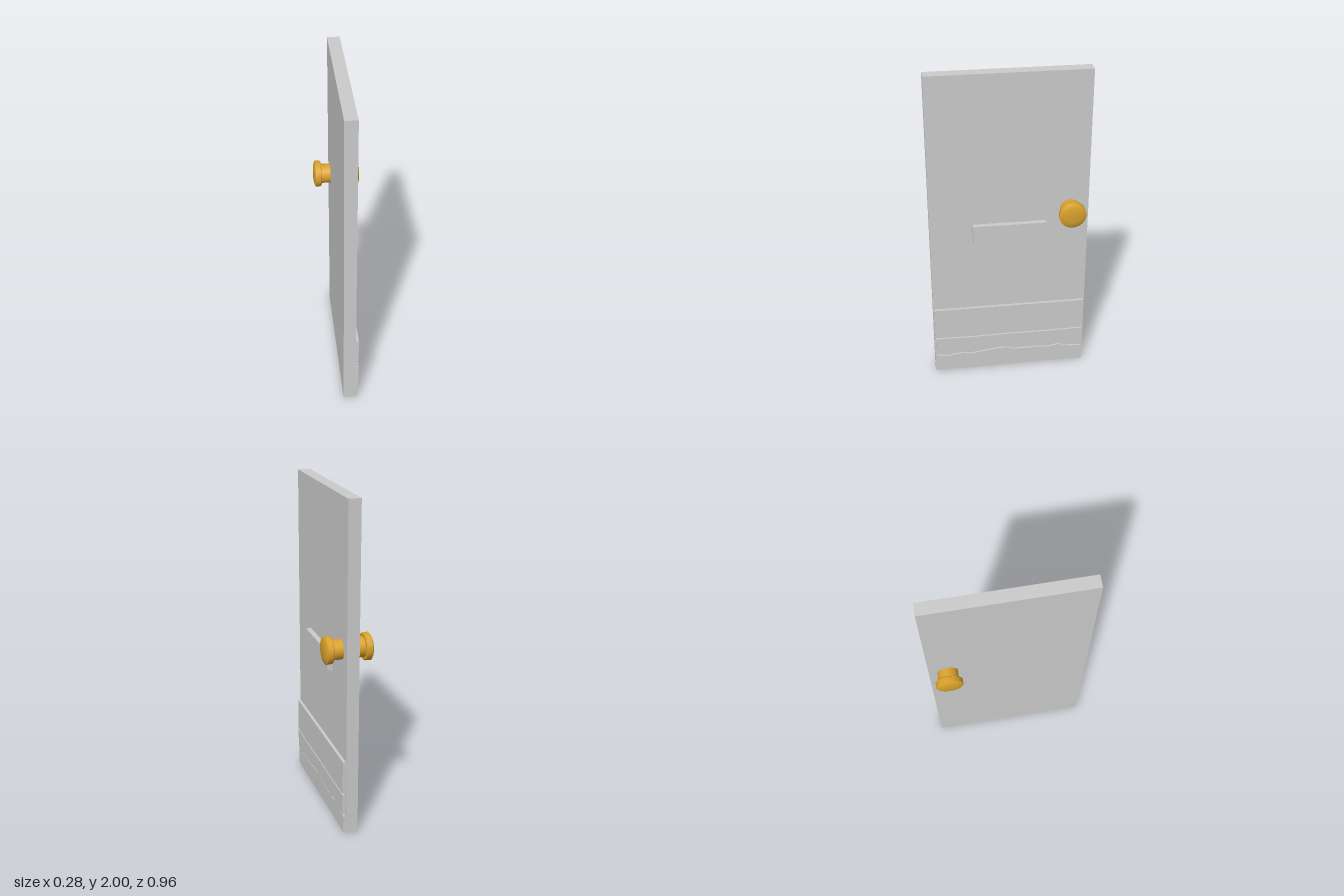
import * as THREE from 'three';
import { toCreasedNormals } from 'three/addons/utils/BufferGeometryUtils.js';

export function createModel() {
  const group = new THREE.Group();
  const grey = new THREE.MeshStandardMaterial({ color: 0xcccccc });
  const brass = new THREE.MeshStandardMaterial({ color: 0xdaa22c });
  const FACE = 0.036; // x of the door's outer face

  const add = (name, geometry, material = grey) => {
    const mesh = new THREE.Mesh(geometry, material);
    mesh.name = name;
    group.add(mesh);
    return mesh;
  };

  // Box given by its limits on each axis
  const box = (name, x0, x1, y0, y1, z0, z1) =>
    add(name, new THREE.BoxGeometry(x1 - x0, y1 - y0, z1 - z0))
      .position.set((x0 + x1) / 2, (y0 + y1) / 2, (z0 + z1) / 2);

  box('doorPanel', -0.038, FACE, 0, 2, -0.478, 0.478);
  box('letterPlate', FACE, 0.068, 0.945, 1.06, -0.22, 0.22);

  // Weathered boards: lower and upper edges run along the door's width (-z)
  const board = (name, lower, upper, thickness) => {
    const outline = [...lower, ...[...upper].reverse()].map(([u, y]) => new THREE.Vector2(u, y));
    const geometry = new THREE.ExtrudeGeometry(new THREE.Shape(outline), { depth: thickness, bevelEnabled: false });
    geometry.rotateY(Math.PI / 2).translate(FACE, 0, 0);
    add(name, geometry);
  };
  const W = 0.47;
  const crack = [[-W, 0.135], [-0.4, 0.122], [-0.31, 0.138], [-0.25, 0.129], [-0.03, 0.158],
    [0.03, 0.139], [0.2, 0.139], [0.25, 0.131], [0.315, 0.148], [0.375, 0.129], [W, 0.124]];
  const split = [[-W, 0.262], [-0.25, 0.258], [0, 0.262], [0.25, 0.26], [W, 0.263]];
  const drop = (edge, d) => edge.map(([u, y]) => [u, y - d]);

  board('upperBoard', split, [[-W, 0.47], [W, 0.47]], 0.018);
  board('middleBoard', crack, drop(split, 0.009), 0.018);
  board('lowerBoard', [[-W, 0.004], [0, 0.006], [0.25, 0.013], [W, 0.006]], drop(crack, 0.013), 0.013);

  // Matching knobs on both faces: neck, rim and tapered end
  const profile = [[0.06, 0], [0.06, 0.095], [0.076, 0.095], [0.08, 0.099], [0.081, 0.13],
    [0.072, 0.136], [0.045, 0.142], [0, 0.142]].map(([r, h]) => new THREE.Vector2(r, h));
  const knob = toCreasedNormals(new THREE.LatheGeometry(profile, 24), 0.7);
  for (const [name, side] of [['outerKnob', 1], ['innerKnob', -1]]) {
    const mesh = add(name, knob, brass);
    mesh.rotation.z = -side * Math.PI / 2;
    mesh.position.set(0, 1.13, -0.367);
  }
  return group;
}
